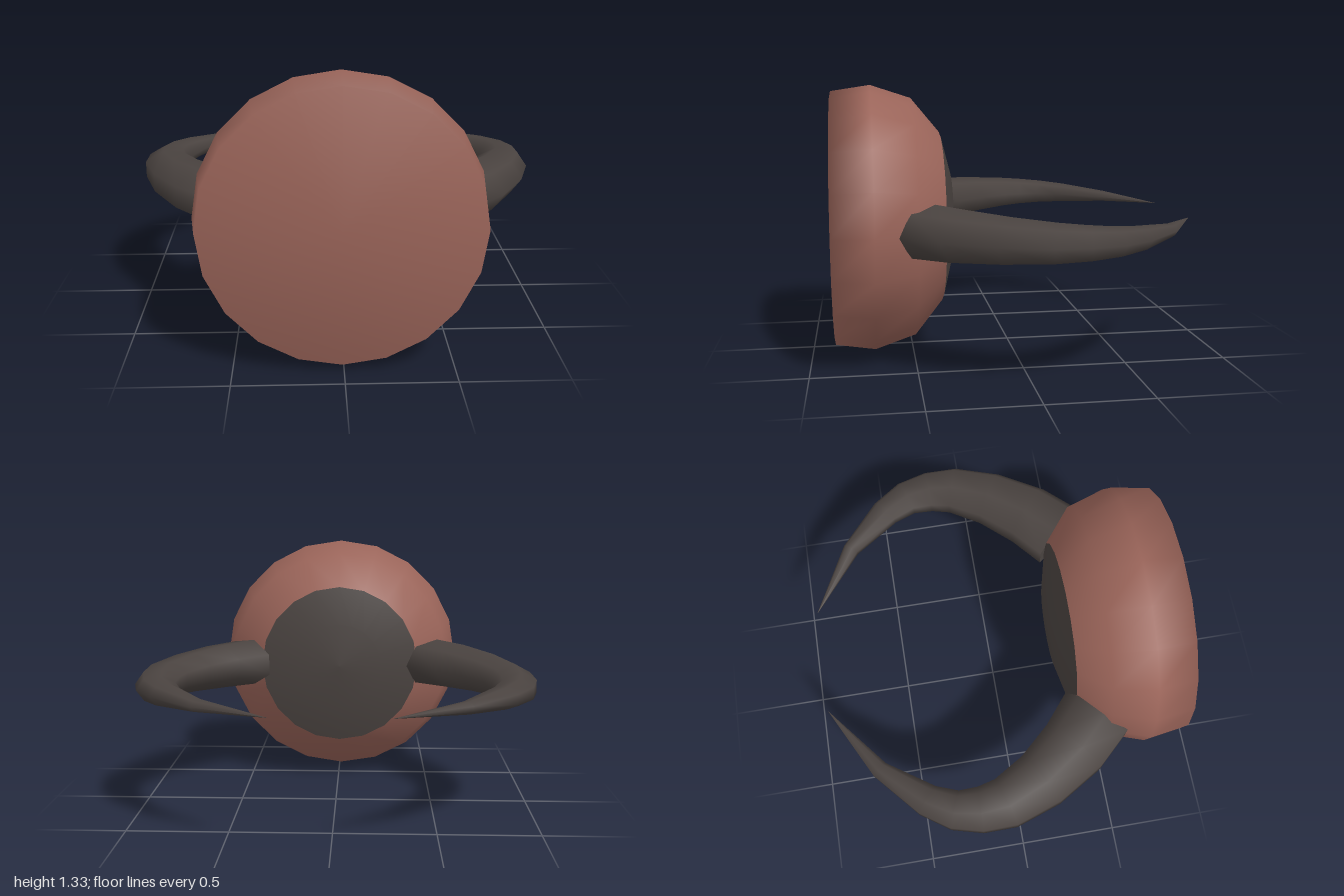
import * as THREE from 'three';

const CENTER_Y = 0.67;
const SIDES = 7;

// Horn centre line and size: x, z, half width
const HORN = [
  [0.5, 0.445, 0.19], [0.65, 0.3, 0.178], [0.785, 0.11, 0.155],
  [0.868, -0.08, 0.133], [0.88, -0.21, 0.117], [0.86, -0.335, 0.1],
  [0.79, -0.46, 0.082], [0.6, -0.67, 0.045], [0.265, -0.885, 0.001],
];

function lathe(points, segments) {
  return new THREE.LatheGeometry(points.map(([r, z]) => new THREE.Vector2(r, z)), segments).rotateX(Math.PI / 2);
}

// Tapered, curved horn lofted through seven-sided oval rings
function hornGeometry(side) {
  const centers = HORN.map(([x, z]) => new THREE.Vector3(side > 0 ? x : -x - 0.01, CENTER_Y, z));
  const positions = [];
  const index = [];
  const addRing = (i) => {
    const last = centers.length - 1;
    const t = centers[Math.min(i + 1, last)].clone().sub(centers[Math.max(i - 1, 0)]).normalize();
    for (let j = 0; j < SIDES; j++) {
      const a = (j / SIDES) * Math.PI * 2;
      const w = Math.cos(a) * HORN[i][2];
      const h = Math.sin(a) * HORN[i][2] * 0.68;
      positions.push(centers[i].x - t.z * w, CENTER_Y + h, centers[i].z + t.x * w);
    }
  };
  centers.forEach((c, i) => addRing(i));
  for (let i = 0; i < centers.length - 1; i++) {
    for (let j = 0; j < SIDES; j++) {
      const a = i * SIDES + j;
      const b = i * SIDES + (j + 1) % SIDES;
      index.push(a, a + SIDES, b, b, a + SIDES, b + SIDES);
    }
  }
  // Closed base with its own vertices for a crisp edge
  const base = positions.length / 3;
  addRing(0);
  for (let j = 1; j < SIDES - 1; j++) index.push(base, base + j, base + j + 1);

  const geometry = new THREE.BufferGeometry();
  geometry.setAttribute('position', new THREE.Float32BufferAttribute(positions, 3));
  geometry.setIndex(index);
  geometry.computeVertexNormals();
  return geometry;
}

export function createModel() {
  const group = new THREE.Group();
  group.name = 'hornedDome';
  const red = new THREE.MeshStandardMaterial({ color: 0x9a6459 });
  const dark = new THREE.MeshStandardMaterial({ color: 0x4a4340 });

  const add = (name, geometry, material) => {
    const mesh = new THREE.Mesh(geometry, material);
    mesh.name = name;
    group.add(mesh);
    return mesh;
  };

  // Rounded body with a flat front
  const body = add('body', lathe([[0.43, 0.35], [0.6, 0.49], [0.665, 0.69], [0.635, 0.885], [0, 0.885]], 20), red);
  body.position.set(-0.008, CENTER_Y, 0);

  // Shallow dark cap on the back
  const cap = add('backCap', lathe([[0, 0.285], [0.23, 0.298], [0.43, 0.35]], 20), dark);
  cap.position.copy(body.position);

  add('leftHorn', hornGeometry(1), dark);
  add('rightHorn', hornGeometry(-1), dark);
  return group;
}
